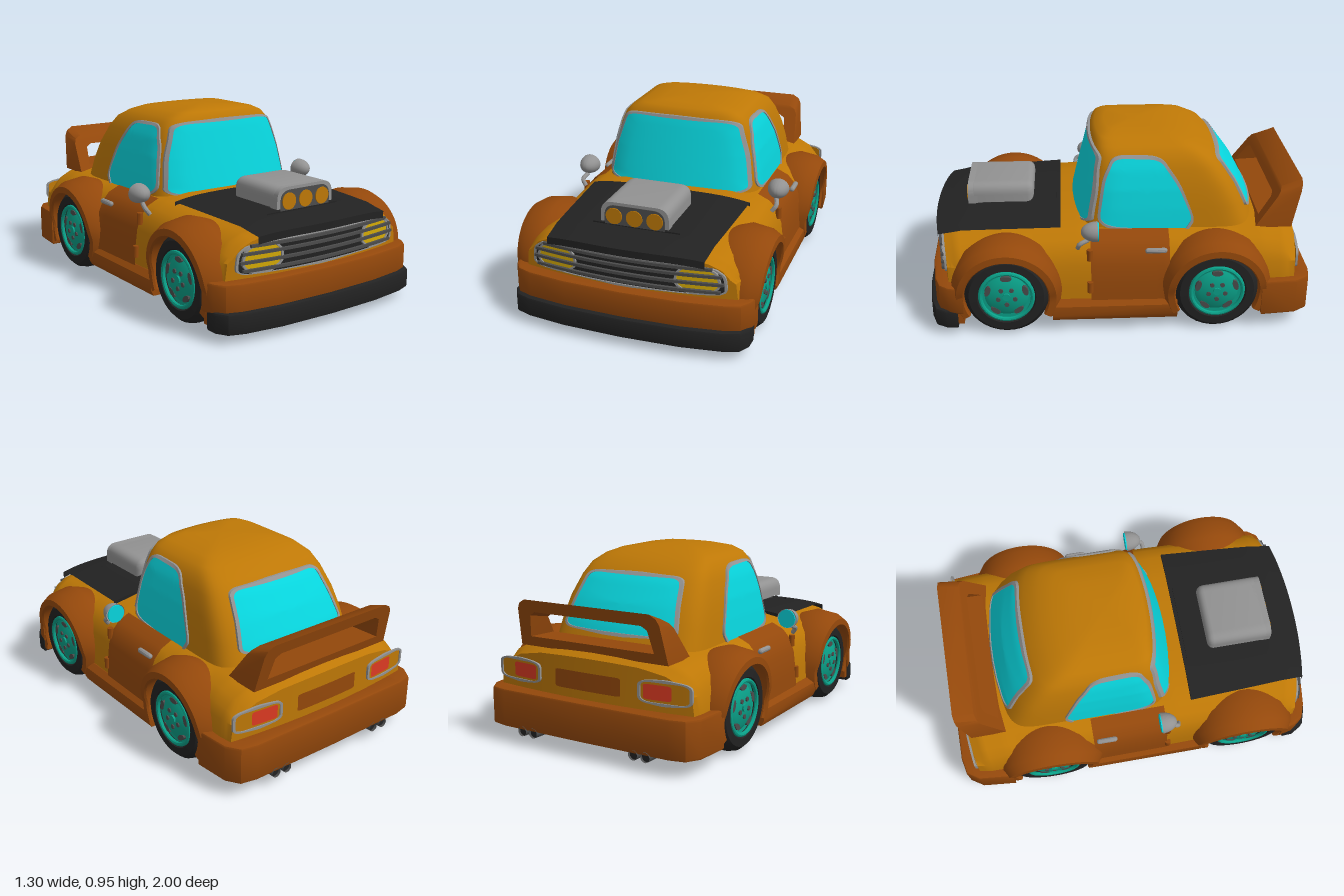
import * as THREE from 'three';
import { toCreasedNormals } from 'three/addons/utils/BufferGeometryUtils.js';

const mat = (name, color) => new THREE.MeshStandardMaterial({ name, color, side: THREE.DoubleSide });
const M = {
  body: mat('ochre paint', 0xbe7806), trim: mat('brown paint', 0x94480b), black: mat('black', 0x222222),
  grey: mat('grey metal', 0x929292), dark: mat('dark metal', 0x4c4c4c), glass: mat('cyan glass', 0x08d5dd),
  teal: mat('teal rim', 0x0aa088), yellow: mat('yellow lamp', 0xd4aa06), red: mat('red lamp', 0xdc3a22),
};
const lerp = THREE.MathUtils.lerp;

export function createModel() {
  const car = new THREE.Group();
  car.name = 'car';
  const add = (name, geo, material, parent = car, crease = 0.6) => {
    const mesh = new THREE.Mesh(toCreasedNormals(geo, crease), material);
    mesh.name = name;
    parent.add(mesh);
  };
  // value at t from rows of [t, a, b, ...] sorted by t
  const table = (rows, t) => {
    let i = 0;
    while (i < rows.length - 2 && t > rows[i + 1][0]) i++;
    const f = THREE.MathUtils.clamp((t - rows[i][0]) / (rows[i + 1][0] - rows[i][0]), 0, 1);
    return rows[i].slice(1).map((v, k) => lerp(v, rows[i + 1][k + 1], f));
  };
  // surface through rows of points
  const grid = (rows) => {
    const n = rows[0].length, index = [];
    for (let r = 0; r < rows.length - 1; r++) for (let i = 0; i < n - 1; i++) {
      const a = r * n + i, b = a + n;
      index.push(a, b, a + 1, a + 1, b, b + 1);
    }
    const g = new THREE.BufferGeometry();
    g.setAttribute('position', new THREE.Float32BufferAttribute(rows.flat(2), 3));
    g.setIndex(index);
    g.computeVertexNormals();
    return g;
  };
  const steps = (a, b, n) => Array.from({ length: n + 1 }, (_, i) => lerp(a, b, i / n));
  const vec2 = (pts) => pts.map(p => new THREE.Vector2(...p));
  const box = (w, h, d, x, y, z) => new THREE.BoxGeometry(w, h, d).translate(x, y, z);
  const tube = (pts, r) => new THREE.TubeGeometry(new THREE.CatmullRomCurve3(pts.map(p => new THREE.Vector3(...p))), 12, r, 10);
  const disc = (r, d, axis = 'x', n = 24) => {
    const g = new THREE.CylinderGeometry(r, r, d, n);
    return axis === 'x' ? g.rotateZ(Math.PI / 2) : g.rotateX(Math.PI / 2);
  };

  // ---- lower body shell, lofted from nose to tail, with arches cut into its lower edge
  const wheelsZ = [0.57, -0.5], wheelY = 0.22;
  const bodyTable = [[-0.94, 0.575, 0.47], [-0.88, 0.585, 0.505], [-0.75, 0.585, 0.52], [0.2, 0.58, 0.53], [0.86, 0.57, 0.5], [0.92, 0.555, 0.478]];
  const curve = (z) => (z > 0 ? 0.065 : 0.04);
  const bend = (z, x) => z - Math.sign(z) * curve(z) * (x / 0.58) ** 2 * THREE.MathUtils.smoothstep(Math.abs(z), 0.6, 0.9);
  const section = (z) => {
    const [w, top] = table(bodyTable, z);
    let low = 0.1;
    for (const c of wheelsZ) if (Math.abs(z - c) < 0.25) low = wheelY + Math.sqrt(0.0625 - (z - c) ** 2);
    return [[1, 0.1], [0.99, 0.25], [0.965, 0.36], [0.92, top - 0.1], [0.85, top - 0.055], [0.74, top - 0.025], [0.5, top], [0.25, top + 0.006], [0, top + 0.008]]
      .map(([k, y]) => [w * k, Math.max(y, Math.min(low, top - 0.03)), bend(z, w * k)]);
  };
  const full = (half) => [...half, ...half.slice(0, -1).reverse().map(([x, y, z]) => [-x, y, z])];
  const rows = steps(0.92, -0.94, 93).map(z => full(section(z)));
  const flat = (row) => row.map(([x, , z]) => [x, 0.1, z]);
  add('bodyShell', grid([flat(rows[0]), ...rows, flat(rows.at(-1))]), M.body);
  add('floor', box(0.78, 0.02, 1.66, 0, 0.14, 0), M.black);
  add('floorMiddle', box(1.1, 0.018, 0.6, 0, 0.14, 0.03), M.black);

  // ---- cabin: stacked rounded plans [y, front z, back z, half width], ends bowed across x
  const cabinTable = [[0.46, 0.235, -0.76, 0.434], [0.6, 0.2, -0.7, 0.417], [0.7, 0.175, -0.645, 0.4], [0.8, 0.15, -0.57, 0.373],
    [0.86, 0.135, -0.51, 0.347], [0.9, 0.12, -0.43, 0.308], [0.925, 0.1, -0.36, 0.25], [0.94, 0.05, -0.26, 0.15], [0.946, -0.1, -0.1, 0]];
  const power = 9, bow = 0.13;
  const edge = (u) => Math.max(0, 1 - Math.abs(u) ** power) ** (1 / power);
  add('cabin', grid(cabinTable.map(([y, f, b, w]) => steps(0, Math.PI * 2, 144).map(t => {
    const c = Math.cos(t), s = Math.sin(t), r = (Math.abs(c) ** power + Math.abs(s) ** power) ** (-1 / power);
    return [w * c * r, y, (f + b) / 2 + (f - b) / 2 * s * r * (1 - bow * (c * r) ** 2)];
  }))), M.body, car, 0.9);
  const onEnd = (s) => (x, y, off) => {
    const [f, b, w] = table(cabinTable, y);
    return [x, y, (f + b) / 2 + s * ((f - b) / 2 * edge(x / w) * (1 - bow * (x / w) ** 2) + off)];
  };
  const onSide = (s) => (z, y, off) => {
    const [f, b, w] = table(cabinTable, y);
    return [s * (w * edge((z - (f + b) / 2) / ((f - b) / 2 * (1 - bow))) + off), y, z];
  };
  // closed outline with rounded corners
  const rounded = (pts, f = 0.2) => {
    const out = [], n = pts.length;
    pts.forEach((p, i) => {
      const mix = (q, k) => [lerp(p[0], q[0], k), lerp(p[1], q[1], k)];
      const a = mix(pts[(i + n - 1) % n], f), next = pts[(i + 1) % n], b = mix(next, f), e = mix(next, 1 - f);
      for (const t of steps(0, 1, 6)) out.push([0, 1].map(k => (1 - t) ** 2 * a[k] + 2 * t * (1 - t) * p[k] + t * t * b[k]));
      for (const t of [0.2, 0.4, 0.6, 0.8]) out.push([lerp(b[0], e[0], t), lerp(b[1], e[1], t)]);
    });
    return [...out, out[0]];
  };
  // thin panel and its frame, laid on a mapped surface
  const panel = (name, line, map, material, off, frame = 0) => {
    const c = [0, 1].map(k => line.reduce((s, p) => s + p[k], 0) / line.length);
    add(name, grid(steps(0, 1, 8).map(s => line.map(p => map(lerp(c[0], p[0], s), lerp(c[1], p[1], s), off)))), material);
    if (!frame) return;
    const ring = (d, o) => line.map(p => {
      const l = Math.hypot(p[0] - c[0], p[1] - c[1]);
      return map(p[0] + (p[0] - c[0]) / l * d, p[1] + (p[1] - c[1]) / l * d, o);
    });
    add(name + 'Frame', grid([ring(0, off), ring(0, off + 0.006), ring(frame, off + 0.006), ring(frame, 0)]), M.grey);
  };
  panel('windshield', rounded([[-0.39, 0.52], [0.39, 0.52], [0.362, 0.7], [0.305, 0.873], [-0.305, 0.873], [-0.362, 0.7]], 0.18), onEnd(1), M.glass, 0.008, 0.016);
  panel('rearWindow', rounded([[-0.325, 0.565], [0.325, 0.565], [0.27, 0.825], [-0.27, 0.825]], 0.12), onEnd(-1), M.glass, 0.008, 0.017);

  // ---- nose and tail: grille, bars and plate recess
  const onNose = (x, y, off) => [x, y, 0.92 - curve(1) * (x / 0.58) ** 2 + off];
  const onTail = (x, y, off) => [x, y, -0.94 + curve(-1) * (x / 0.58) ** 2 - off];
  panel('grille', rounded([[-0.49, 0.32], [-0.44, 0.298], [0.44, 0.298], [0.49, 0.32], [0.48, 0.4], [0.42, 0.44], [-0.42, 0.44], [-0.48, 0.4]], 0.3), onNose, M.black, 0.005, 0.012);
  const bentBar = (w, h, d, y, z) => {
    const g = new THREE.BoxGeometry(w, h, d, 16).translate(0, y, z), p = g.attributes.position;
    for (let i = 0; i < p.count; i++) p.setZ(i, p.getZ(i) - curve(1) * (p.getX(i) / 0.58) ** 2);
    return g;
  };
  [[0.94, 0.32], [0.97, 0.36], [0.95, 0.4], [0.86, 0.435]].forEach(([w, y]) => add('grilleBar', bentBar(w, 0.014, 0.014, y, 0.938), M.dark));
  panel('rearPlatePanel', rounded([[-0.19, 0.32], [0.19, 0.32], [0.19, 0.41], [-0.19, 0.41]], 0.08), onTail, M.trim, 0.006);

  // ---- hood cover and blower scoop
  const hood = (name, z0, z1, w0, w1, lift) => {
    const line = (z, y) => steps(-1, 1, 16).map(k => {
      const x = k * lerp(w0, w1, (z - z0) / (z1 - z0));
      return [x, table(bodyTable, z)[1] + y - 0.02 * (x / 0.42) ** 4, z - 0.04 * (x / 0.42) ** 2 * THREE.MathUtils.smoothstep(z, 0.6, 0.95)];
    });
    add(name, grid([line(z0, -0.01), ...steps(z0, z1, 10).map(z => line(z, lift)), line(z1, -0.02)]), M.black);
  };
  hood('hoodCover', 0.29, 0.955, 0.435, 0.4, 0.016);
  hood('hoodPad', 0.31, 0.77, 0.21, 0.225, 0.023);
  const arch = (w, y0, y1) => {
    const s = new THREE.Shape(), c = (y1 - y0) * 0.6;
    s.moveTo(-w, y0); s.lineTo(w, y0); s.lineTo(w, y1 - c);
    s.quadraticCurveTo(w, y1, w - c, y1); s.lineTo(-w + c, y1); s.quadraticCurveTo(-w, y1, -w, y1 - c);
    return s;
  };
  add('scoop', new THREE.ExtrudeGeometry(arch(0.175, 0.545, 0.645), { depth: 0.28, bevelSize: 0.035, bevelThickness: 0.035, bevelOffset: -0.035, bevelSegments: 4 }).translate(0, 0, 0.465), M.grey);
  add('scoopMouth', new THREE.ExtrudeGeometry(arch(0.175, 0.54, 0.645), { depth: 0.05, bevelEnabled: false }).translate(0, 0, 0.728), M.grey);
  add('scoopBase', box(0.3, 0.05, 0.28, 0, 0.54, 0.59), M.dark);
  add('scoopOpening', new THREE.ExtrudeGeometry(arch(0.155, 0.53, 0.63), { depth: 0.004, bevelEnabled: false }).translate(0, 0, 0.777), M.dark);
  for (const x of [-0.105, 0, 0.105]) add('scoopValve', disc(0.042, 0.006, 'z').translate(x, 0.575, 0.783), M.body);

  // ---- bumpers, lip and spoiler
  const slab = (name, half, y0, y1, material) => {
    const pts = [...half, ...half.slice(1).reverse().map(([x, z]) => [-x, z])].map(([x, z]) => [x, -z]);
    const b = 0.012;
    add(name, new THREE.ExtrudeGeometry(new THREE.Shape(vec2(pts)), { depth: y1 - y0 - 2 * b, bevelSize: b, bevelThickness: b, bevelOffset: -b, bevelSegments: 2 })
      .rotateX(-Math.PI / 2).translate(0, y0 + b, 0), material);
  };
  slab('frontBumper', [[0, 0.975], [0.3, 0.965], [0.5, 0.937], [0.575, 0.91], [0.61, 0.86], [0.625, 0.79], [0.5, 0.79], [0.45, 0.84]], 0.13, 0.28, M.trim);
  slab('frontLip', [[0, 1], [0.3, 0.99], [0.5, 0.963], [0.58, 0.935], [0.612, 0.88], [0.615, 0.82], [0.5, 0.82], [0.45, 0.86]], 0.045, 0.148, M.black);
  add('lipBacking', box(0.9, 0.035, 0.01, 0, 0.1, 0.85), M.teal);
  slab('rearBumper', [[0, -1], [0.48, -0.995], [0.565, -0.977], [0.608, -0.91], [0.625, -0.73], [0.5, -0.73], [0.45, -0.88]], 0.08, 0.275, M.trim);
  const wing = new THREE.Shape(vec2([[-0.43, 0.49], [0.43, 0.49], [0.41, 0.68], [0.395, 0.71], [0.36, 0.73], [-0.36, 0.73], [-0.395, 0.71], [-0.41, 0.68]]));
  wing.holes.push(new THREE.Path(vec2([[-0.36, 0.54], [-0.34, 0.65], [-0.31, 0.67], [0.31, 0.67], [0.34, 0.65], [0.36, 0.54]])));
  const wingGeo = new THREE.ExtrudeGeometry(wing, { depth: 1, bevelEnabled: false });
  const wp = wingGeo.attributes.position;
  for (let i = 0; i < wp.count; i++) {
    const t = (wp.getY(i) - 0.49) / 0.24, front = wp.getZ(i);
    wp.setY(i, wp.getY(i) - 0.04 * t * front);
    wp.setZ(i, lerp(lerp(-0.9, -0.955, t), lerp(-0.71, -0.85, t), front));
  }
  wingGeo.computeVertexNormals();
  add('spoiler', wingGeo, M.trim);

  // ---- wheel template, outer face on +x
  const makeWheel = () => {
    const wheel = new THREE.Group();
    wheel.name = 'wheel';
    const tyre = [[0.13, -0.1], [0.185, -0.1], [0.212, -0.075], [0.22, -0.04], [0.22, 0.04], [0.212, 0.075], [0.19, 0.098], [0.15, 0.1], [0.135, 0.06]];
    add('tyre', new THREE.LatheGeometry(vec2(tyre), 40).rotateZ(-Math.PI / 2), M.black, wheel);
    add('rimBack', disc(0.134, 0.12, 'x', 40).translate(-0.035, 0, 0), M.black, wheel);
    add('rimRing', new THREE.TorusGeometry(0.133, 0.011, 8, 40).rotateY(Math.PI / 2).translate(0.092, 0, 0), M.teal, wheel);
    add('rimDish', disc(0.132, 0.06, 'x', 40).translate(0.045, 0, 0), M.teal, wheel);
    add('rimFace', new THREE.CylinderGeometry(0.085, 0.115, 0.02, 32).rotateZ(-Math.PI / 2).translate(0.083, 0, 0), M.teal, wheel);
    for (let i = 0; i < 5; i++) {
      const a = i * Math.PI * 0.4;
      add('rimSlot', disc(0.018, 0.026, 'x', 12).scale(1, 0.8, 1.6).translate(0.08, 0.1, 0).rotateX(a), M.dark, wheel);
      add('wheelNut', disc(0.012, 0.02, 'x', 8).translate(0.09, 0.045, 0).rotateX(a + 0.63), M.dark, wheel);
    }
    add('hub', disc(0.02, 0.024, 'x', 12).translate(0.09, 0, 0), M.teal, wheel);
    return wheel;
  };

  // ---- everything mirrored left and right
  for (const s of [1, -1]) {
    panel('sideWindow', rounded([[0.095, 0.52], [0.06, 0.75], [0.01, 0.86], [-0.22, 0.85], [-0.31, 0.72], [-0.385, 0.55], [-0.34, 0.48]], 0.25), onSide(s), M.glass, 0.004, 0.015);
    const mir = (line) => line.map(([x, y]) => [s * x, y]);
    panel('headlight', mir(rounded([[0.26, 0.345], [0.32, 0.31], [0.42, 0.31], [0.465, 0.35], [0.44, 0.425], [0.3, 0.43], [0.265, 0.4]], 0.35)), onNose, M.yellow, 0.01, 0.011);
    panel('tailLight', mir(rounded([[0.3, 0.32], [0.55, 0.32], [0.55, 0.415], [0.3, 0.415]], 0.25)), onTail, M.body, 0.006, 0.014);
    panel('tailLightRed', mir(rounded([[0.315, 0.332], [0.46, 0.332], [0.46, 0.404], [0.315, 0.404]], 0.15)), onTail, M.red, 0.01);
    // door skin, sill, hinges and handle
    add('door', grid(steps(0.14, -0.26, 12).map(z => section(z).slice(0, 6).map(([x, y]) => [s * (x + 0.008), y + 0.004, z]))), M.trim);
    add('sill', new THREE.ExtrudeGeometry(new THREE.Shape(vec2(mir([[0.46, 0.07], [0.6, 0.07], [0.615, 0.1], [0.61, 0.15], [0.58, 0.18], [0.46, 0.18]]))),
      { depth: 0.64, bevelEnabled: false }).translate(0, 0, -0.3), M.trim);
    add('bumperEnd', box(0.1, 0.08, 0.04, s * 0.56, 0.11, 0.81), M.trim);
    for (const y of [0.25, 0.42]) add('doorHinge', new THREE.CylinderGeometry(0.016, 0.016, 0.06, 12).translate(s * (0.62 - y * 0.16), y, 0.145), M.trim);
    add('doorHandle', new THREE.CapsuleGeometry(0.014, 0.085, 4, 10).rotateX(Math.PI / 2).translate(s * 0.555, 0.437, -0.19), M.grey);
    // mirror
    add('mirrorShell', new THREE.SphereGeometry(0.056, 24, 16, 0, Math.PI).scale(1, 0.92, 1.5).translate(s * 0.54, 0.545, 0.105), M.grey, car, 1);
    add('mirrorGlass', disc(0.049, 0.008, 'z').translate(s * 0.54, 0.545, 0.103), M.glass);
    add('mirrorStalk', tube([[s * 0.54, 0.5, 0.15], [s * 0.55, 0.48, 0.195], [s * 0.53, 0.45, 0.205]], 0.012), M.grey);
    // wheels and arch flares
    for (const c of wheelsZ) {
      const wheel = makeWheel();
      wheel.position.set(s * 0.512, wheelY, c);
      if (s < 0) wheel.rotation.y = Math.PI;
      car.add(wheel);
      add('archFlare', grid(steps(-0.5, Math.PI + 0.5, 40).map(t => {
        const bx = 0.618 + 0.034 * Math.sqrt(Math.max(0, Math.sin(t)));
        return [[0.235, 0.4], [0.212, bx - 0.01], [0.219, bx], [0.252, bx - 0.003], [0.28, bx - 0.05], [0.295, 0.5], [0.27, 0.42]]
          .map(([r, x]) => [s * x, wheelY + r * Math.sin(t), c + r * Math.cos(t)]);
      })), M.trim);
    }
    // chassis rails, exhaust pipes and tips
    add('chassisRail', box(0.09, 0.05, 1.35, s * 0.25, 0.1, 0.08), M.dark);
    add('exhaustPipe', tube([[s * 0.1, 0.1, 0.4], [s * 0.12, 0.09, -0.3], [s * 0.2, 0.09, -0.7]], 0.025), M.dark);
    for (const dx of [-0.034, 0.034]) {
      add('exhaustTip', new THREE.CylinderGeometry(0.03, 0.025, 0.28, 16, 1, true).rotateX(Math.PI / 2).translate(s * 0.33 + dx, 0.075, -0.86), M.dark);
      add('exhaustBore', disc(0.024, 0.004, 'z', 16).translate(s * 0.33 + dx, 0.075, -0.985), M.black);
    }
  }

  // ---- running gear
  add('muffler', disc(0.075, 0.52, 'x').scale(1, 0.6, 1.3).translate(0, 0.1, -0.76), M.dark);
  add('gearbox', new THREE.CylinderGeometry(0.045, 0.07, 0.4, 16).rotateX(Math.PI / 2).translate(0, 0.12, 0.2), M.dark);
  add('driveShaft', disc(0.03, 0.5, 'z', 12).translate(0, 0.13, -0.25), M.dark);
  add('differential', new THREE.SphereGeometry(0.075, 20, 14).translate(0, 0.14, -0.5), M.grey);
  for (const z of wheelsZ) add('axle', disc(0.025, 0.9, 'x', 12).translate(0, 0.18, z), M.dark);
  add('sumpGuard', box(0.42, 0.02, 0.32, 0, 0.085, 0.61), M.black);
  return car;
}
